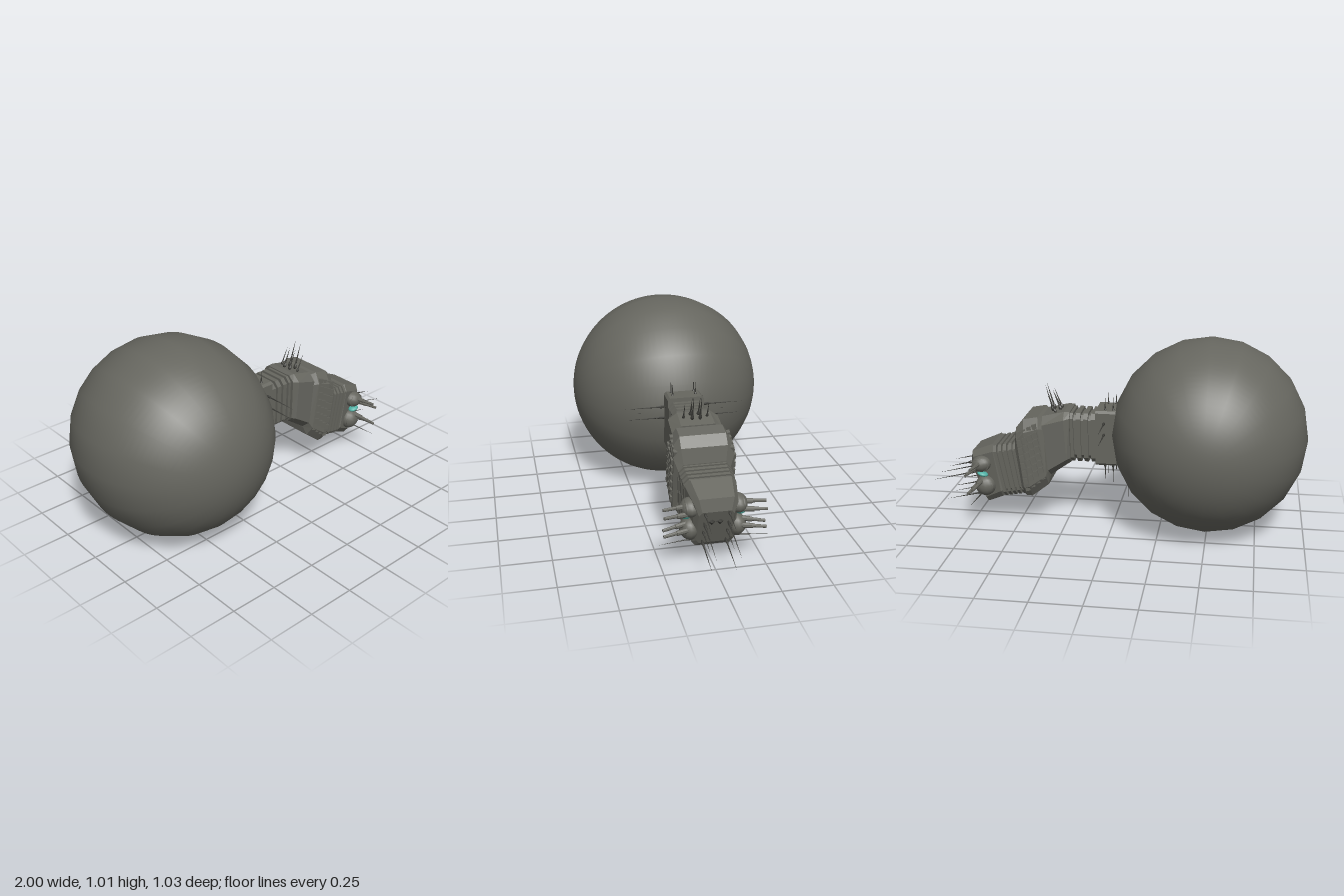
import * as THREE from 'three';

const dark = new THREE.MeshStandardMaterial({ color: 0x66665f, flatShading: true });
const smooth = new THREE.MeshStandardMaterial({ color: 0x66665f });
const spikeMat = new THREE.MeshStandardMaterial({ color: 0x3c3c38, flatShading: true });
const teal = new THREE.MeshStandardMaterial({ color: 0x4fb0a4 });
const lerp = THREE.MathUtils.lerp;

// Chamfered cross-section between a top and a bottom point, half width w
const section = (tx, ty, bx, by, w, cz = 0.025, cy = 0.1) => ({ tx, ty, bx, by, w, cz, cy });

function mix(a, b, t) {
  const out = {};
  for (const k in a) out[k] = lerp(a[k], b[k], t);
  return out;
}

function ring({ tx, ty, bx, by, w, cz, cy }) {
  const half = [[0, w - cz], [cy, w], [1 - cy, w], [1, w - cz]];
  const all = [...half, ...half.map(([s, z]) => [s, -z]).reverse()];
  return all.map(([s, z]) => [lerp(bx, tx, s), lerp(by, ty, s), z]);
}

// Closed hull through sections running toward +x
function loft(sections) {
  const pos = [], idx = [];
  for (const s of sections) for (const p of ring(s)) pos.push(...p);
  const last = (sections.length - 1) * 8;
  for (let k = 0; k < last; k += 8)
    for (let i = 0; i < 8; i++) {
      const a = k + i, b = k + (i + 1) % 8;
      idx.push(a, a + 8, b + 8, a, b + 8, b);
    }
  for (let i = 1; i < 7; i++) idx.push(0, i, i + 1, last, last + i + 1, last + i);
  const g = new THREE.BufferGeometry();
  g.setAttribute('position', new THREE.Float32BufferAttribute(pos, 3));
  g.setIndex(idx);
  const flat = g.toNonIndexed();
  flat.computeVertexNormals();
  return flat;
}

export function createModel() {
  const model = new THREE.Group();
  const add = (name, geometry, material = dark, parent = model) => {
    const mesh = new THREE.Mesh(geometry, material);
    mesh.name = name;
    parent.add(mesh);
    return mesh;
  };
  // Stands a y-axis geometry of unit length between two points
  const between = (name, geometry, from, to, material) => {
    const a = new THREE.Vector3(...from), d = new THREE.Vector3(...to).sub(a);
    const mesh = add(name, geometry, material);
    mesh.position.copy(a);
    mesh.scale.y = d.length();
    mesh.quaternion.setFromUnitVectors(new THREE.Vector3(0, 1, 0), d.normalize());
    return mesh;
  };

  // Great sphere
  const globe = add('sphere', new THREE.SphereGeometry(0.505, 20, 48).rotateX(Math.PI / 2), smooth);
  globe.position.set(-0.495, 0.505, 0);
  globe.scale.z = 1.02;

  // Neck base block set into the sphere
  add('neckBase', loft([
    section(-0.04, 0.63, -0.04, 0.335, 0.095, 0.012, 0.04),
    section(0.09, 0.63, 0.09, 0.335, 0.095, 0.012, 0.04),
  ]));

  // Ribbed joints: a core with evenly spaced plates
  function ribbedJoint(name, a, b, count, grow) {
    add(name + 'Core', loft([a, b]));
    const fat = (s) => ({ ...s, ty: s.ty + grow, by: s.by - grow, w: s.w + grow });
    for (let i = 0; i < count; i++)
      add(name + 'Rib', loft([
        fat(mix(a, b, (i + 0.25) / count)),
        fat(mix(a, b, (i + 0.85) / count)),
      ]));
  }
  ribbedJoint('neck', section(0.08, 0.595, 0.08, 0.36, 0.08),
    section(0.24, 0.595, 0.23, 0.36, 0.08), 4, 0.014);
  ribbedJoint('throat', section(0.5, 0.435, 0.455, 0.18, 0.118),
    section(0.64, 0.405, 0.58, 0.155, 0.112), 5, 0.014);

  // Shoulder hull
  add('shoulder', loft([
    section(0.225, 0.615, 0.22, 0.345, 0.11, 0.03, 0.1),
    section(0.255, 0.617, 0.235, 0.335, 0.128, 0.045, 0.12),
    section(0.37, 0.59, 0.335, 0.265, 0.13, 0.045, 0.12),
  ]));

  // Collar hull
  add('collar', loft([
    section(0.36, 0.575, 0.33, 0.265, 0.125, 0.035, 0.15),
    section(0.39, 0.592, 0.335, 0.225, 0.15, 0.035, 0.15),
    section(0.465, 0.578, 0.425, 0.155, 0.155, 0.04, 0.15),
    section(0.505, 0.53, 0.455, 0.155, 0.15, 0.035, 0.15),
    section(0.515, 0.45, 0.475, 0.17, 0.13, 0.025, 0.12),
  ]));

  // Armour tiles on both collar flanks
  const tileShape = new THREE.BoxGeometry(0.023, 0.031, 0.02);
  for (const side of [1, -1])
    for (let row = 0; row < 8; row++)
      for (let col = 0; col < 4; col++) {
        const v = (row + 0.5) / 8, u = (col + 0.5) / 4;
        const tile = add('collarTile', tileShape);
        tile.position.set(
          lerp(lerp(0.345, 0.455, u), lerp(0.39, 0.5, u), v),
          lerp(lerp(0.27, 0.175, u), lerp(0.57, 0.515, u), v),
          side * (row === 0 || row === 7 ? 0.14 : 0.151));
        tile.rotation.z = -0.3;
      }

  // Head
  add('head', loft([
    section(0.625, 0.415, 0.575, 0.15, 0.11, 0.02, 0.1),
    section(0.64, 0.428, 0.59, 0.138, 0.125, 0.025, 0.12),
    section(0.755, 0.38, 0.675, 0.1, 0.105, 0.02, 0.1),
    section(0.765, 0.315, 0.692, 0.12, 0.085, 0.015, 0.1),
  ]));

  // Cheek plates, pods, eyes and twin barrels, mirrored
  const pod = new THREE.SphereGeometry(1, 14, 10);
  const barrel = new THREE.CylinderGeometry(0.0075, 0.009, 1, 8).translate(0, 0.5, 0);
  const sleeve = new THREE.CylinderGeometry(0.012, 0.014, 1, 8).translate(0, 0.5, 0);
  for (const s of [1, -1]) {
    [[0.7, 0.32, 0.055, 0.044], [0.68, 0.2, 0.055, 0.055]].forEach(([x, y, rx, ry]) => {
      const m = add('gunPod', pod, smooth);
      m.position.set(x, y, s * 0.115);
      m.scale.set(rx, ry, 0.047);
      m.rotation.z = -0.25;
      const rim = add('podRim', new THREE.TorusGeometry(0.042, 0.007, 6, 16), smooth);
      rim.position.set(x, y, s * 0.137);
      rim.scale.y = 0.8;
    });
    const eye = add('sideEye', pod, teal);
    eye.position.set(0.69, 0.27, s * 0.132);
    eye.scale.set(0.03, 0.013, 0.025);
    eye.rotation.z = 0.25;

    for (const [x, y, drop] of [[0.7, 0.328, 0], [0.725, 0.298, 0], [0.69, 0.235, 0.018], [0.715, 0.21, 0.012]]) {
      between('barrelSleeve', sleeve, [x, y, s * 0.11], [x + 0.015, y - drop * 0.5, s * 0.185], dark);
      between('gunBarrel', barrel, [x + 0.01, y - drop * 0.4, s * 0.17], [x + 0.025, y - drop, s * 0.248], dark);
    }

    // Front diamond eyes
    const diamond = add('frontEye', new THREE.OctahedronGeometry(0.018), spikeMat);
    diamond.position.set(0.742, 0.255, s * 0.02);
  }

  // Spikes: a small knob tapering to a needle
  const needle = new THREE.LatheGeometry(
    [[0, 0], [0.007, 0.08], [0.0075, 0.14], [0.0035, 0.24], [0.0025, 0.5], [0, 1]]
      .map(([r, h]) => new THREE.Vector2(r, h)), 6);
  const spike = (name, from, to, fat = 1) => {
    const m = between(name, needle, from, to, spikeMat);
    m.scale.x = m.scale.z = fat;
  };
  for (const s of [1, -1]) {
    for (const x of [0, 0.042]) {
      spike('neckTopSpike', [x, 0.62, s * 0.06], [x, 0.7, s * 0.06]);
      spike('neckBottomSpike', [x, 0.34, s * 0.06], [x, 0.23, s * 0.06]);
    }
    for (const y of [0.57, 0.51]) spike('neckSideSpike', [0.042, y, s * 0.09], [0.042, y, s * 0.315]);
    spike('sphereSideSpike', [-0.038, 0.51, s * 0.09], [-0.038, 0.51, s * 0.255]);
    spike('sphereLowerSpike', [-0.08, 0.27, s * 0.06], [-0.08, 0.15, s * 0.06]);

    spike('shoulderSpike', [0.28, 0.605, s * 0.02], [0.325, 0.715, s * 0.02], 1.3);
    spike('shoulderSpike', [0.32, 0.595, s * 0.02], [0.365, 0.745, s * 0.02], 1.3);
    spike('shoulderSpike', [0.3, 0.6, s * 0.06], [0.345, 0.7, s * 0.06]);

    // Head front spikes
    for (const [x, y, tx, ty] of [[0.757, 0.31, 0.9, 0.275], [0.74, 0.255, 1, 0.19],
      [0.72, 0.2, 0.87, 0.165], [0.695, 0.14, 0.92, 0.085]])
      spike('headSpike', [x, y, s * 0.058], [tx, ty, s * 0.058]);
    spike('headSideSpike', [0.7, 0.155, s * 0.09], [0.72, 0.145, s * 0.275]);
  }
  return model;
}
